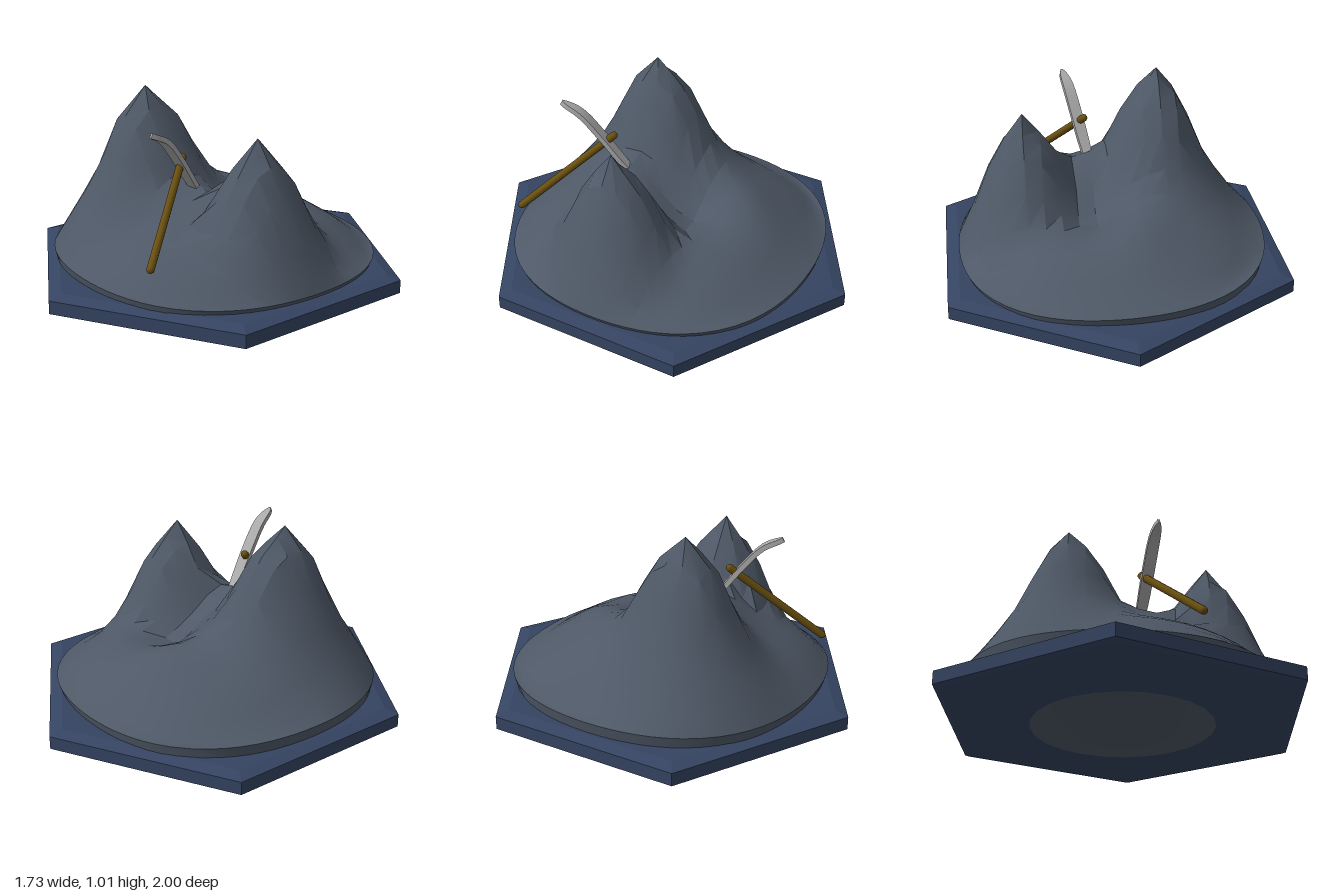
import * as THREE from 'three';
import { toCreasedNormals } from 'three/addons/utils/BufferGeometryUtils.js';

const material = (color, options = {}) => new THREE.MeshStandardMaterial({ color, ...options });

function addPart(parent, name, geometry, mat) {
  const mesh = new THREE.Mesh(geometry, mat);
  mesh.name = name;
  parent.add(mesh);
  return mesh;
}

// Piecewise linear profile: height against distance
function profileAt(points, d) {
  for (let i = 1; i < points.length; i++) {
    const [d0, h0] = points[i - 1], [d1, h1] = points[i];
    if (d <= d1) return h0 + (h1 - h0) * (d - d0) / (d1 - d0);
  }
  return 0;
}

// Each peak has a flank profile, squeezed or stretched per direction
const peaks = [
  { x: -0.27, z: 0.23, left: 0.87, right: 1, front: 0.88, back: 0.75,
    flank: [[0, 1.01], [0.13, 0.85], [0.25, 0.54], [0.36, 0.37], [0.55, 0.15], [0.8, 0]] },
  { x: 0.44, z: 0.08, left: 0.93, right: 0.88, front: 0.9, back: 0.78,
    flank: [[0, 0.86], [0.14, 0.66], [0.22, 0.45], [0.34, 0.2], [0.6, 0]] },
];

function peakHeight(p, x, z) {
  const dx = (x - p.x) * (x > p.x ? p.left : p.right);
  const dz = (z - p.z) * (z > p.z ? p.front : p.back);
  return profileAt(p.flank, Math.hypot(dx, dz));
}

const bump = (x, z, cx, cz, spread) => Math.exp(-((x - cx) ** 2 + (z - cz) ** 2) / spread);

// Dome with a saddle ridge, a hollow behind it and a low mound at the back
function rockHeight(x, z, r) {
  const dome = 0.17 + 0.38 * (1 - r ** 1.5) - 0.02 * x + 0.07 * Math.max(0, z)
    + 0.07 * bump(x, z, 0.13, 0.2, 0.02)
    - 0.18 * bump(x, z, 0.11, -0.14, 0.04)
    + 0.03 * bump(x, z, -0.1, -0.4, 0.02);
  const sum = peaks.reduce((s, p) => s + peakHeight(p, x, z) ** 10, dome ** 10);
  const rim = 0.18 - 0.025 * x;
  return THREE.MathUtils.lerp(sum ** 0.1, rim, r ** 16);
}

// Square grid bent into a round footprint and raised; its last loop tucks under as a lip
function rockGeometry() {
  const geo = new THREE.PlaneGeometry(2, 2, 20, 20).rotateX(-Math.PI / 2);
  const pos = geo.attributes.position;
  const inner = 0.9;
  const places = [];
  for (let i = 0; i < pos.count; i++) {
    const m = Math.max(Math.abs(pos.getX(i)), Math.abs(pos.getZ(i)));
    const lip = m > 0.95;
    const scale = lip ? 1 : 1 / inner;
    const u = pos.getX(i) * scale, v = pos.getZ(i) * scale;
    const cx = u * Math.sqrt(1 - v * v / 2), cz = v * Math.sqrt(1 - u * u / 2);
    const reach = (lip ? 0.785 : 0.8) + 0.035 * Math.sin(2 * Math.atan2(cz, cx)) ** 2;
    places.push({ x: cx * reach, z: cz * reach, r: Math.hypot(cx, cz), lip });
  }
  // Pull the nearest grid point onto each summit
  for (const p of peaks) {
    const distance = (q) => Math.hypot(q.x - p.x, q.z - p.z);
    const nearest = places.reduce((a, b) => (distance(b) < distance(a) ? b : a));
    nearest.x = p.x;
    nearest.z = p.z;
  }
  places.forEach(({ x, z, r, lip }, i) => {
    pos.setXYZ(i, x, lip ? 0.125 : rockHeight(x, z, r), z);
  });
  return toCreasedNormals(geo, 0.45);
}

// Shallow bowl whose lowest point sits toward the back
function undersideGeometry() {
  const geo = lathe([[0, 0], [0.15, 0.004], [0.3, 0.018], [0.51, 0.045]], 24);
  const pos = geo.attributes.position;
  for (let i = 0; i < pos.count; i++) {
    const r = Math.hypot(pos.getX(i), pos.getZ(i));
    pos.setZ(i, pos.getZ(i) - 0.04 - 0.14 * (1 - r / 0.51));
  }
  geo.computeVertexNormals();
  return geo;
}

// Thin blade: a box swept along a curve, narrowing at both ends
function bladeGeometry() {
  const curve = new THREE.CatmullRomCurve3([
    [0.08, 0.48, 0.14], [0.11, 0.6, 0.235], [0.14, 0.73, 0.33], [0.17, 0.845, 0.43], [0.195, 0.895, 0.525],
  ].map((p) => new THREE.Vector3(...p)));
  const across = new THREE.Vector3(0.96, 0, -0.27).normalize();
  const geo = new THREE.BoxGeometry(1, 1, 1, 2, 1, 20);
  const pos = geo.attributes.position;
  for (let i = 0; i < pos.count; i++) {
    const t = THREE.MathUtils.clamp(pos.getZ(i) + 0.5, 0, 1);
    const taper = Math.sqrt(Math.max(0.03, 1 - Math.abs(2 * t - 1) ** 3));
    const normal = curve.getTangent(t).cross(across).normalize();
    const point = curve.getPoint(t)
      .addScaledVector(across, pos.getX(i) * 0.06 * taper)
      .addScaledVector(normal, pos.getY(i) * 0.026);
    pos.setXYZ(i, point.x, point.y, point.z);
  }
  return toCreasedNormals(geo, 0.6);
}

function lathe(points, sides) {
  return new THREE.LatheGeometry(points.map(([r, y]) => new THREE.Vector2(r, y)), sides);
}

export function createModel() {
  const model = new THREE.Group();
  model.name = 'mountainOnHexBase';

  // Hexagonal plinth with bevelled edges
  addPart(model, 'hexBase', lathe(
    [[0, 0.04], [0.97, 0.04], [1, 0.052], [1, 0.12], [0.93, 0.14], [0, 0.14]], 6),
  material(0x354462, { flatShading: true }));

  // Twin-peaked rock and the part of it showing under the plinth
  const rock = material(0x4e5866);
  addPart(model, 'mountain', rockGeometry(), rock);
  addPart(model, 'mountainUnderside', undersideGeometry(), rock);

  // Blade stuck in the saddle
  addPart(model, 'blade', bladeGeometry(), material(0xaaaaaa));

  // Wooden shaft leaning out to the front
  const top = new THREE.Vector3(0.1, 0.73, 0.27), foot = new THREE.Vector3(0.395, 0.32, 0.685);
  const axis = top.clone().sub(foot);
  const shaft = addPart(model, 'shaft',
    new THREE.CapsuleGeometry(0.02, axis.length() - 0.02, 3, 10), material(0x6a5010));
  shaft.position.copy(top).add(foot).multiplyScalar(0.5);
  shaft.quaternion.setFromUnitVectors(new THREE.Vector3(0, 1, 0), axis.normalize());

  return model;
}
